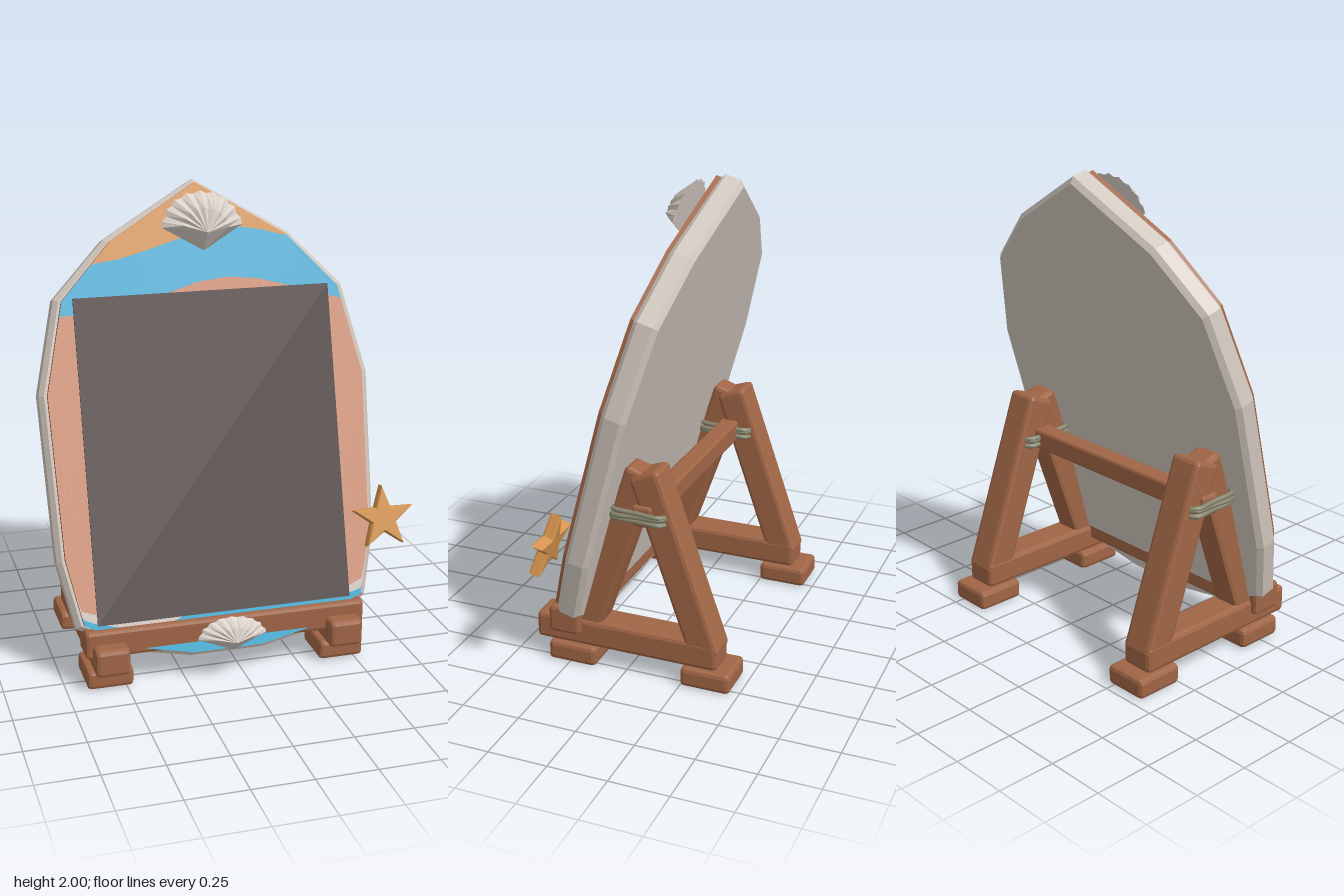
import * as THREE from 'three';
import { RoundedBoxGeometry } from 'three/addons/geometries/RoundedBoxGeometry.js';

const CX = -0.063;      // centre line of the sign and stand
const TILT = 0.268;     // backward lean of the board
const COS = Math.cos(TILT);

const mat = (name, color) => {
  const m = new THREE.MeshStandardMaterial({ color });
  m.name = name;
  return m;
};

export function createModel() {
  const wood = mat('wood', 0xa06545);
  const stone = mat('paleStone', 0xcfc5bc);
  const shellMat = mat('shell', 0xd8cec6);
  const slate = mat('slate', 0x4f4441);
  const orange = mat('orange', 0xd8954f);
  const blue = mat('blue', 0x44b0d9);
  const salmon = mat('salmon', 0xd5967a);
  const ropeMat = mat('rope', 0x86866e);

  const root = new THREE.Group();
  root.name = 'sandwichSign';

  const add = (parent, name, geo, material, x = 0, y = 0, z = 0) => {
    const m = new THREE.Mesh(geo, material);
    m.name = name;
    m.position.set(x, y, z);
    parent.add(m);
    return m;
  };
  // Box with worn, faceted edges
  const block = (w, h, d, r = 0.018) => {
    const g = new RoundedBoxGeometry(w, h, d, 1, r);
    g.computeVertexNormals();
    return g;
  };

  // ---- Leaning board ----
  const board = new THREE.Group();
  board.name = 'board';
  board.position.set(CX, 0, 0.384);
  board.rotation.x = -TILT;
  root.add(board);

  const half = [[0, 2.0], [0.395, 1.775], [0.62, 1.55], [0.71, 1.18],
    [0.69, 0.52], [0.63, 0.25], [0.365, 0.13], [0.155, 0.09]]
    .map(([x, y]) => [x, (y + 0.011) / COS]);
  const inner = half.map(([x, y]) => [x * 0.955, 1.09 + (y - 1.09) * 0.982]);
  const outline = (pts) => new THREE.Shape([
    ...pts, ...pts.slice(1).reverse().map(([x, y]) => [-x, y]),
  ].map(([x, y]) => new THREE.Vector2(x, y)));

  add(board, 'rim', new THREE.ExtrudeGeometry(outline(half), {
    depth: 0.065, bevelEnabled: true, bevelThickness: 0.02, bevelSize: 0.02,
    bevelOffset: -0.02, bevelSegments: 1,
  }), stone, 0, 0, -0.105);
  add(board, 'backing', new THREE.ExtrudeGeometry(outline(inner), {
    depth: 0.024, bevelEnabled: false,
  }), wood, 0, 0, -0.026);

  // ---- Painted bands, clipped to the outline ----
  const lerpList = (pts) => (x) => {
    if (x <= pts[0][0]) return pts[0][1];
    for (let i = 1; i < pts.length; i++) {
      const [x0, y0] = pts[i - 1], [x1, y1] = pts[i];
      if (x <= x1) return y0 + (y1 - y0) * (x - x0) / (x1 - x0);
    }
    return pts[pts.length - 1][1];
  };
  const topHalf = lerpList(inner.slice(0, 4));
  const botHalf = lerpList(inner.slice(3).reverse());
  const top = (x) => topHalf(Math.abs(x));
  const bottom = (x) => botHalf(Math.abs(x));
  // Wavy border given in upright coordinates
  const wave = (pts) => {
    const f = lerpList(pts.map(([x, y]) => [x - CX, y / COS]));
    return (x) => Math.min(top(x), Math.max(bottom(x), f(x)));
  };
  const borders = [
    top,
    wave([[-0.52, 1.69], [-0.4, 1.705], [-0.3, 1.73], [-0.1, 1.785], [0, 1.805], [0.1, 1.81], [0.2, 1.795], [0.31, 1.765]]),
    wave([[-0.66, 1.495], [-0.45, 1.49], [-0.3, 1.525], [-0.21, 1.56], [-0.08, 1.597], [0.05, 1.61], [0.18, 1.597], [0.32, 1.56], [0.53, 1.5]]),
    wave([[-0.73, 0.355], [-0.6, 0.31], [0.48, 0.31], [0.58, 0.35]]),
    wave([[-0.7, 0.315], [-0.62, 0.28], [-0.5, 0.25], [-0.3, 0.25], [-0.22, 0.28], [0.48, 0.28], [0.57, 0.305]]),
    bottom,
  ];
  const maxX = inner[3][0];
  const xs = inner.flatMap(([x]) => [x, -x]);
  for (let i = 0; i <= 60; i++) xs.push(maxX * (i / 30 - 1));
  xs.sort((a, b) => a - b);
  const band = (hi, lo) => {
    const p = [];
    for (let i = 1; i < xs.length; i++) {
      const a = xs[i - 1], b = xs[i];
      if (b - a < 1e-5) continue;
      p.push(a, hi(a), 0, a, lo(a), 0, b, lo(b), 0);
      p.push(a, hi(a), 0, b, lo(b), 0, b, hi(b), 0);
    }
    const g = new THREE.BufferGeometry();
    g.setAttribute('position', new THREE.Float32BufferAttribute(p, 3));
    g.setAttribute('normal', new THREE.Float32BufferAttribute(p.map((_, i) => (i % 3 === 2 ? 1 : 0)), 3));
    return g;
  };
  [['sunsetPaint', orange], ['skyPaint', blue], ['sandPaint', salmon], ['foamPaint', shellMat], ['seaPaint', blue]]
    .forEach(([name, m], i) => add(board, name, band(borders[i], borders[i + 1]), m));

  // Writing surface
  add(board, 'slatePanel', new THREE.BoxGeometry(1.095, 1.29 / COS, 0.008), slate, 0, 0.915 / COS, 0.003);

  // ---- Ledge under the board ----
  add(root, 'ledge', block(1.21, 0.12, 0.14, 0.015), wood, CX, 0.195, 0.27);

  // ---- A-frame stand ----
  const ropePath = (s) => new THREE.CatmullRomCurve3([
    [0.088, -0.1], [0.09, 0], [0.088, 0.1], [0.05, 0.122],
    [-0.05, 0.122], [-0.088, 0.1], [-0.09, 0], [-0.088, -0.1], [-0.05, -0.122], [0.05, -0.122],
  ].map(([x, z]) => new THREE.Vector3(x, z * s, z)), true);

  for (const side of [-1, 1]) {
    const frame = new THREE.Group();
    frame.name = side > 0 ? 'leftFrame' : 'rightFrame';
    frame.position.x = CX + side * 0.505;
    root.add(frame);
    add(frame, 'frontFoot', block(0.195, 0.085, 0.215), wood, 0, 0.0425, 0.238);
    add(frame, 'rearFoot', block(0.195, 0.085, 0.215), wood, 0, 0.0425, -0.357);
    add(frame, 'runner', block(0.145, 0.118, 0.81), wood, 0, 0.139, 0.005);
    // Crossed legs meeting in a notched peak
    for (const dir of [-1, 1]) {
      const leg = add(frame, dir > 0 ? 'frontLeg' : 'rearLeg',
        block(dir > 0 ? 0.122 : 0.142, 0.82, 0.132), wood, 0, 0.517, -0.07 + dir * 0.142);
      leg.rotation.x = -dir * 0.337;
    }
    // Lashing round the joint
    [[0.708, 0.04], [0.725, -0.03], [0.743, 0.06]].forEach(([y, s]) =>
      add(frame, 'lashing', new THREE.TubeGeometry(ropePath(s), 40, 0.011, 6, true), ropeMat, 0, y, -0.06));
  }
  add(root, 'crossbar', block(1.18, 0.09, 0.085, 0.012), wood, CX, 0.725, -0.08);

  // ---- Scallop shells ----
  const shellGeometry = () => {
    const n = 18, rim = [], mid = [];
    for (let i = 0; i <= n; i++) {
      const a = Math.PI * i / n;
      const r = i % 2 ? 1 : 0.93;
      const c = Math.cos(a), s = Math.sin(a);
      rim.push([0.17 * c * (i === 0 || i === n ? 1 : r), 0.145 * s * r, 0]);
      mid.push([0.095 * c, -0.015 + 0.08 * s, i % 2 ? 0.064 : 0.05]);
    }
    const apex = [0, -0.035, 0.085], hinge = [0, -0.1, 0], back = [0, 0, 0];
    const p = [];
    const tri = (...v) => v.forEach((q) => p.push(...q));
    for (let i = 0; i < n; i++) {
      tri(apex, mid[i], mid[i + 1]);
      tri(mid[i], rim[i], rim[i + 1]);
      tri(mid[i], rim[i + 1], mid[i + 1]);
      tri(back, rim[i + 1], rim[i]);
    }
    tri(apex, hinge, mid[0]);
    tri(mid[0], hinge, rim[0]);
    tri(apex, mid[n], hinge);
    tri(mid[n], rim[n], hinge);
    tri(back, rim[0], hinge);
    tri(back, hinge, rim[n]);
    const g = new THREE.BufferGeometry();
    g.setAttribute('position', new THREE.Float32BufferAttribute(p, 3));
    g.computeVertexNormals();
    return g;
  };
  const topShell = add(root, 'topShell', shellGeometry(), shellMat, CX, 1.83, -0.045);
  topShell.rotation.x = -TILT;
  const lowShell = add(root, 'lowerShell', shellGeometry().scale(0.86, 0.57, 0.75), shellMat, CX, 0.195, 0.4);
  lowShell.rotation.x = -TILT;

  // ---- Starfish ----
  const star = new THREE.Shape(Array.from({ length: 10 }, (_, i) => {
    const a = Math.PI / 2 + i * Math.PI / 5, r = i % 2 ? 0.057 : 0.141;
    return new THREE.Vector2(r * Math.cos(a), r * Math.sin(a));
  }));
  const starGeo = new THREE.ExtrudeGeometry(star, {
    depth: 0.034, bevelEnabled: true, bevelThickness: 0.008, bevelSize: 0.006, bevelOffset: -0.006, bevelSegments: 1,
  }).translate(0, 0, -0.017);
  add(root, 'starfish', starGeo, orange, 0.64, 0.597, 0.275).rotation.x = -TILT;

  return root;
}
